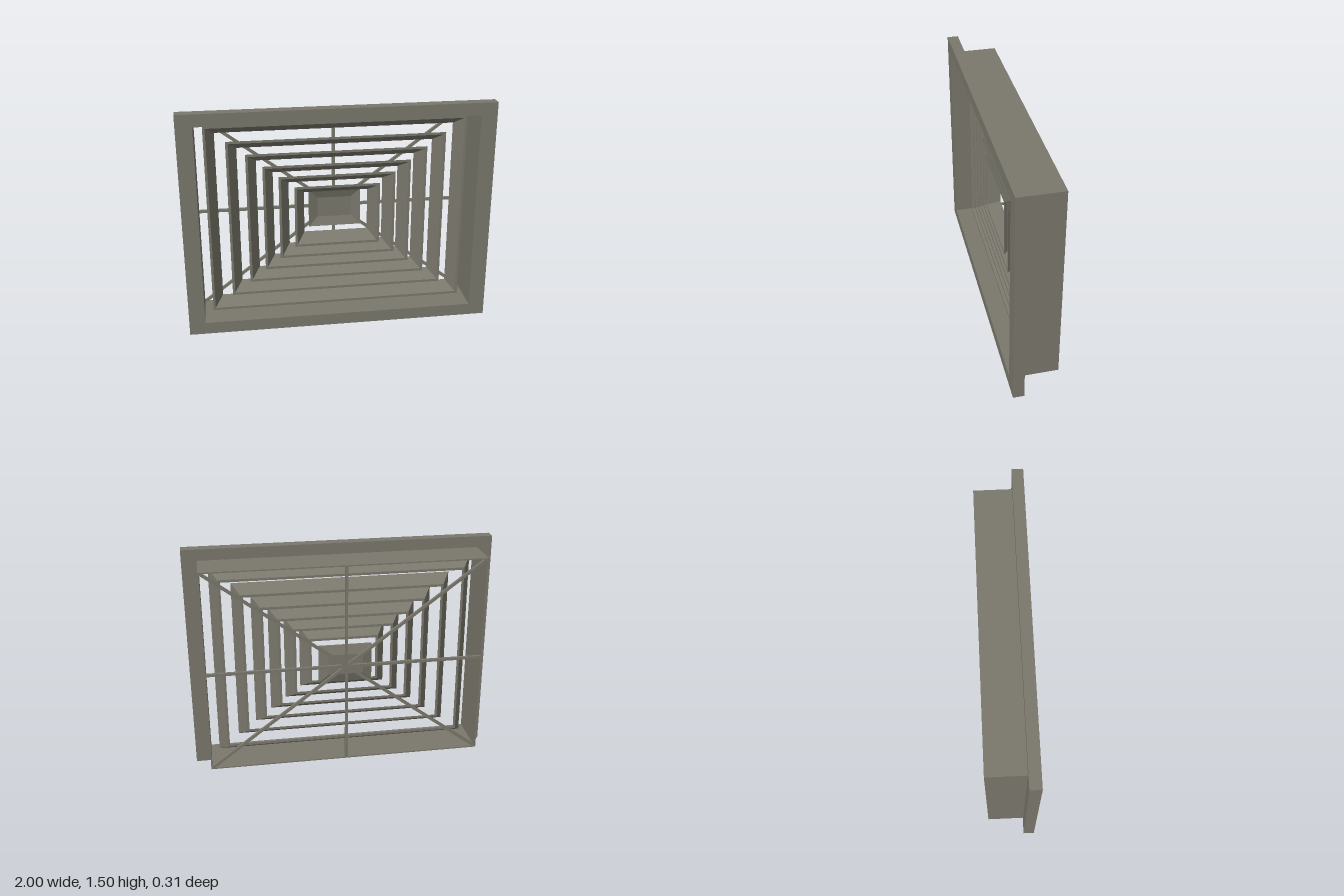
import * as THREE from 'three';

const material = new THREE.MeshStandardMaterial({ color: 0x7a786c, flatShading: true });
const CENTER_Y = 0.75;

function addMesh(parent, geometry, name) {
  const mesh = new THREE.Mesh(geometry, material);
  mesh.name = name;
  parent.add(mesh);
  return mesh;
}

// Rectangular tube along z: outer half size, hole half size, z range
function tubeGeometry(w, h, holeW, holeH, z0, z1) {
  const rect = (T, a, b) => {
    const p = new T();
    p.moveTo(-a, -b);
    p.lineTo(a, -b);
    p.lineTo(a, b);
    p.lineTo(-a, b);
    p.closePath();
    return p;
  };
  const shape = rect(THREE.Shape, w, h);
  shape.holes.push(rect(THREE.Path, holeW, holeH));
  const geometry = new THREE.ExtrudeGeometry(shape, { depth: z1 - z0, bevelEnabled: false });
  return geometry.translate(0, 0, z0);
}

// Mitred ring: sweeps a closed [inset, z] profile around a rectangle
function ringGeometry(w, h, profile) {
  const corners = [[1, -1], [1, 1], [-1, 1], [-1, -1]];
  const point = (c, p) => [c[0] * (w - p[0]), c[1] * (h - p[0]), p[1]];
  const positions = [];
  corners.forEach((c, i) => {
    const next = corners[(i + 1) % 4];
    profile.forEach((p, j) => {
      const q = profile[(j + 1) % profile.length];
      const a = point(c, p), b = point(c, q), a2 = point(next, p), b2 = point(next, q);
      positions.push(...a, ...a2, ...b, ...a2, ...b2, ...b);
    });
  });
  const geometry = new THREE.BufferGeometry();
  geometry.setAttribute('position', new THREE.Float32BufferAttribute(positions, 3));
  geometry.computeVertexNormals();
  return geometry;
}

export function createModel() {
  const model = new THREE.Group();
  model.name = 'ceilingDiffuser';
  const body = new THREE.Group();
  body.name = 'body';
  body.position.y = CENTER_Y;
  model.add(body);

  // Front flange and the duct collar behind it
  addMesh(body, tubeGeometry(1, 0.75, 0.895, 0.67, 0.085, 0.157), 'frontFlange');
  addMesh(body, tubeGeometry(0.903, 0.678, 0.895, 0.67, -0.157, 0.085), 'ductCollar');

  // Concentric louvers, flaring towards the front
  const louvers = new THREE.Group();
  louvers.name = 'louvers';
  body.add(louvers);
  const bladeProfile = [[0, 0.045], [0.016, 0.045], [0.07, -0.04], [0.054, -0.04]];
  const sizes = [[0.84, 0.64], [0.705, 0.535], [0.585, 0.445], [0.48, 0.36], [0.38, 0.285], [0.28, 0.21]];
  sizes.forEach(([w, h], i) => {
    addMesh(louvers, ringGeometry(w, h, bladeProfile), `louver${i + 1}`);
  });

  // Shallow dished plate in the middle
  const plateW = 0.173, plateH = 0.128, rim = 0.06;
  const rimProfile = [[0, -0.09], [rim, -0.11], [rim, -0.122], [0, -0.102]];
  addMesh(body, ringGeometry(plateW, plateH, rimProfile), 'centerPlateRim');
  const plate = new THREE.BoxGeometry(2 * (plateW - rim), 2 * (plateH - rim), 0.012);
  addMesh(body, plate, 'centerPlate').position.z = -0.116;

  // Support bars crossing at the back
  const bars = new THREE.Group();
  bars.name = 'supportBars';
  bars.position.z = -0.148;
  body.add(bars);
  const diagonal = 2 * Math.hypot(0.89, 0.668);
  const angle = Math.atan2(0.668, 0.89);
  const layout = [
    ['horizontalBar', 1.795, 0],
    ['verticalBar', 1.345, Math.PI / 2],
    ['risingDiagonalBar', diagonal, angle],
    ['fallingDiagonalBar', diagonal, -angle],
  ];
  for (const [name, length, turn] of layout) {
    addMesh(bars, new THREE.BoxGeometry(length, 0.018, 0.018), name).rotation.z = turn;
  }

  return model;
}
